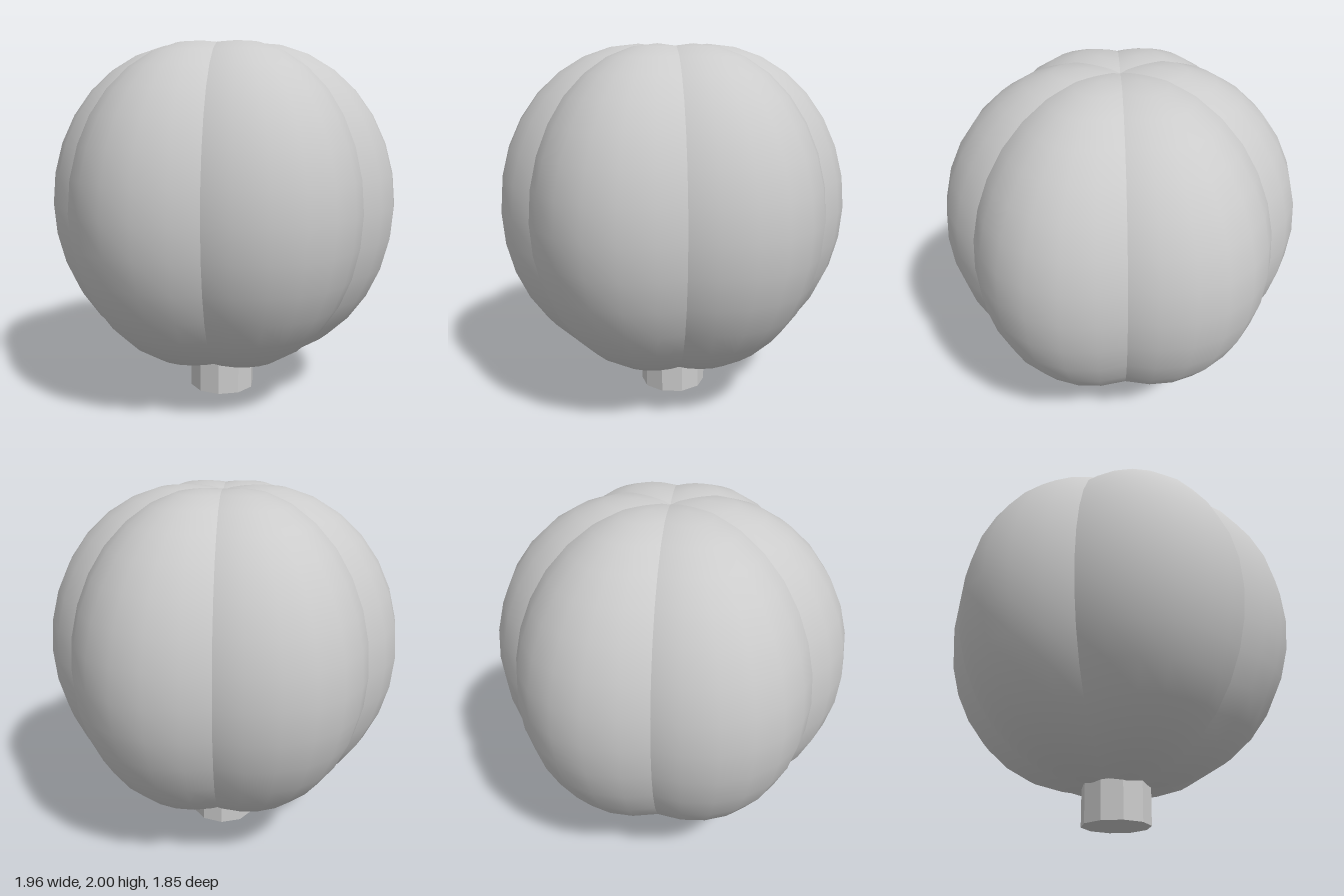
import * as THREE from 'three';

export function createModel() {
  const group = new THREE.Group();
  const smooth = new THREE.MeshStandardMaterial({ color: 0xcccccc });
  const faceted = new THREE.MeshStandardMaterial({ color: 0xcccccc, flatShading: true });

  // Six overlapping egg-shaped lobes around the vertical axis
  const lobeGeometry = new THREE.SphereGeometry(1, 24, 16);
  lobeGeometry.scale(0.79, 0.9, 0.67);
  lobeGeometry.translate(0.19, 1.1, 0);
  for (let i = 0; i < 6; i++) {
    const lobe = new THREE.Mesh(lobeGeometry, smooth);
    lobe.name = `lobe${i + 1}`;
    lobe.rotation.y = (i * Math.PI) / 3;
    group.add(lobe);
  }

  // Short ten-sided stem that the body rests on
  const stem = new THREE.Mesh(new THREE.CylinderGeometry(0.188, 0.188, 0.4, 10), faceted);
  stem.name = 'stem';
  stem.position.y = 0.2;
  group.add(stem);

  return group;
}
